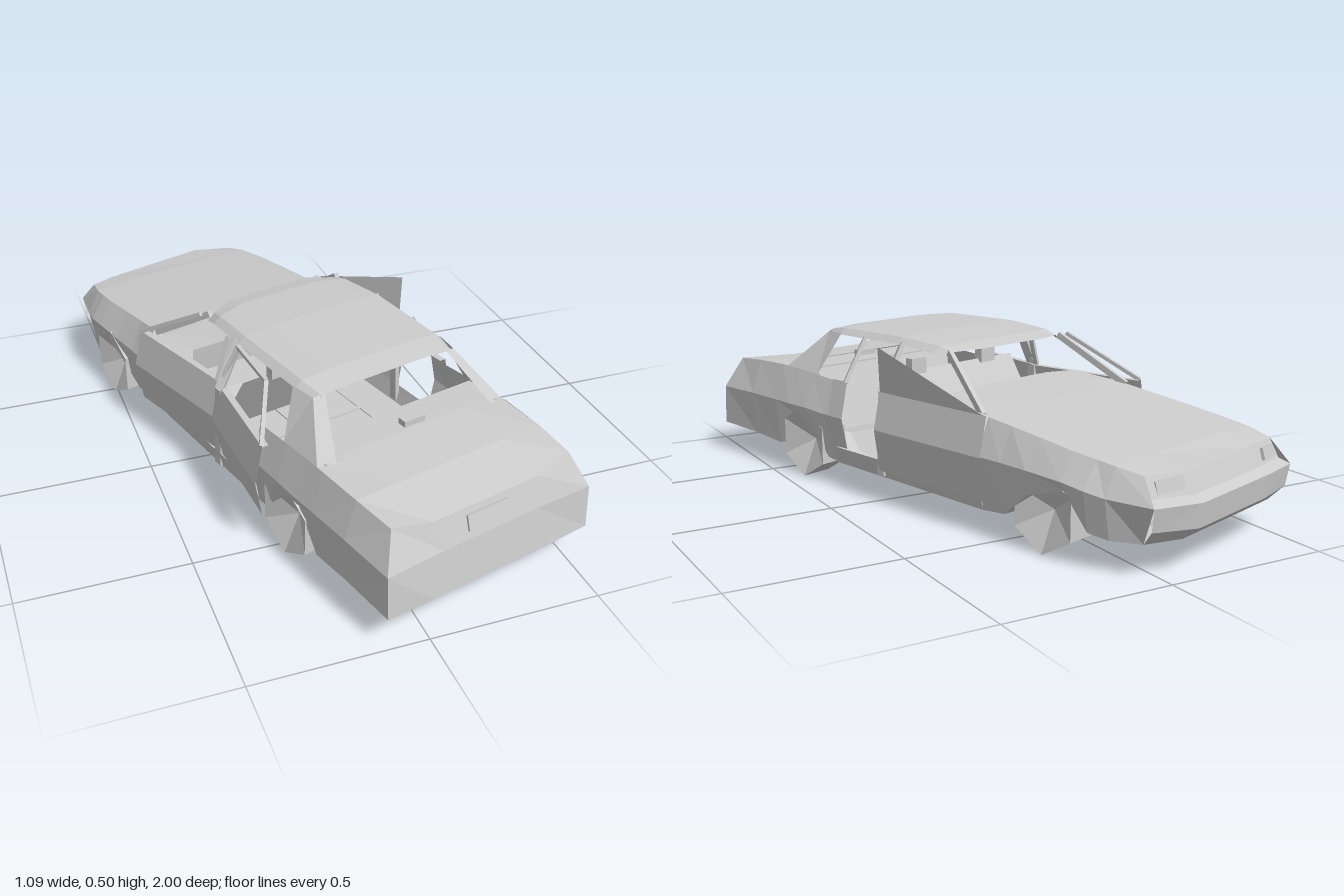
import * as THREE from 'three';

const paint = new THREE.MeshStandardMaterial({ color: 0xcccccc, side: THREE.DoubleSide });
paint.name = 'plain grey';

export function createModel() {
  const model = new THREE.Group();
  model.name = 'sedan';
  // the car stands at a slight yaw, boot towards +z
  const car = new THREE.Group();
  car.name = 'car';
  car.rotation.y = 0.247;
  car.position.set(-0.015, 0, 0.004);
  model.add(car);

  const add = (name, geo) => {
    const mesh = new THREE.Mesh(geo, paint);
    mesh.name = name;
    car.add(mesh);
    return mesh;
  };
  // faceted surface through rows of points
  const grid = (name, rows) => {
    const p = [];
    for (let i = 0; i < rows.length - 1; i++) {
      for (let j = 0; j < rows[i].length - 1; j++) {
        const a = rows[i][j], b = rows[i + 1][j], c = rows[i + 1][j + 1], d = rows[i][j + 1];
        p.push(...a, ...b, ...c, ...a, ...c, ...d);
      }
    }
    const g = new THREE.BufferGeometry();
    g.setAttribute('position', new THREE.Float32BufferAttribute(p, 3));
    g.computeVertexNormals();
    return add(name, g);
  };
  const box = (name, w, h, d, x, y, z) => {
    const m = add(name, new THREE.BoxGeometry(w, h, d));
    m.position.set(x, y, z);
    return m;
  };
  // straight beam between two points
  const beam = (name, p, q, w, t = w) => {
    const a = new THREE.Vector3(...p), b = new THREE.Vector3(...q);
    const m = add(name, new THREE.BoxGeometry(t, w, a.distanceTo(b)));
    m.position.copy(a).lerp(b, 0.5);
    m.quaternion.setFromUnitVectors(new THREE.Vector3(0, 0, 1), b.sub(a).normalize());
    return m;
  };
  const flip = (s, rows) => rows.map(r => r.map(([x, y, z]) => [s * x, y, z]));
  const across = half => [...half.map(([x, y, z]) => [-x, y, z]), ...half.slice().reverse()];
  // the nose is pushed in a little on the -x side
  const dented = rows => rows.map(r => r.map(([x, y, z]) => [x, y, x < 0 && x > -0.2 && z < -0.9 ? z + 0.03 : z]));

  // side stations: z, sill x, sill y, waist x, waist y, shoulder x, shoulder y
  const frontStations = [
    [-0.81, 0.32, 0.09, 0.34, 0.205, 0.3, 0.283],
    [-0.75, 0.335, 0.1, 0.355, 0.215, 0.305, 0.29],
    [-0.68, 0.35, 0.2, 0.36, 0.225, 0.31, 0.298],
    [-0.55, 0.35, 0.16, 0.36, 0.23, 0.31, 0.314],
    [-0.45, 0.335, 0.08, 0.355, 0.23, 0.31, 0.325],
    [-0.36, 0.33, 0.07, 0.355, 0.23, 0.31, 0.335]];
  const rearStations = [
    [0.3, 0.33, 0.075, 0.355, 0.23, 0.32, 0.335],
    [0.35, 0.335, 0.085, 0.355, 0.23, 0.32, 0.338],
    [0.44, 0.345, 0.18, 0.358, 0.235, 0.32, 0.344],
    [0.53, 0.345, 0.205, 0.358, 0.235, 0.32, 0.348],
    [0.61, 0.34, 0.085, 0.355, 0.235, 0.32, 0.35],
    [0.75, 0.342, 0.095, 0.352, 0.235, 0.315, 0.345]];
  const sidePoints = ([z, a, b, c, d, e, f]) => [[a, b, z], [c, d, z], [e, f, z]];
  const noseCorner = [[0.28, 0.09, -0.89], [0.305, 0.2, -0.94], [0.28, 0.27, -0.885]];
  const tailCorner = [[0.346, 0.1, 0.938], [0.347, 0.23, 0.93], [0.303, 0.333, 0.88]];
  const sideRowsFront = [noseCorner, ...frontStations.map(sidePoints)];
  const sideRowsRear = [...rearStations.map(sidePoints), tailCorner];

  for (const s of [-1, 1]) {
    grid('frontFender', flip(s, sideRowsFront));
    grid('rearQuarter', flip(s, sideRowsRear));
    grid('sill', flip(s, [[[0.33, 0.07, -0.36], [0.345, 0.13, -0.36]],
      [[0.33, 0.075, 0.3], [0.345, 0.13, 0.3]]]));
  }

  // floor with wheel wells
  const floorRows = [[0.28, 0.09, -0.89], ...[...frontStations, ...rearStations].map(([z, x, y]) => [x, y, z]), [0.346, 0.1, 0.938]];
  grid('floor', floorRows.map(([x, y, z]) => {
    const low = z > 0.7 || z < -0.8 ? y : 0.07;
    return across([[x, y, z], [0.21, y, z], [0.21, low, z]]);
  }));
  box('driveTunnel', 0.05, 0.012, 0.6, 0, 0.068, 0);
  box('crossMember', 0.6, 0.012, 0.015, 0, 0.068, 0.05);

  // bonnet and cowl
  const bonnetLip = across([[0.28, 0.27, -0.885], [0.16, 0.272, -0.935]]);
  grid('bonnet', dented([
    bonnetLip,
    ...frontStations.map(([z, , , , , x, y]) => across([[x, y, z], [0.17, y + 0.008, z]]))]));
  grid('cowl', [across([[0.31, 0.335, -0.36], [0.17, 0.343, -0.36]]),
    across([[0.31, 0.345, -0.285], [0.17, 0.35, -0.285]])]);
  // nose with bumper step
  grid('nose', dented([
    bonnetLip,
    across([[0.29, 0.215, -0.91], [0.165, 0.215, -0.96]]),
    across([[0.305, 0.2, -0.94], [0.17, 0.2, -0.99]]),
    across([[0.3, 0.135, -0.93], [0.17, 0.13, -0.98]]),
    across([[0.28, 0.09, -0.89], [0.17, 0.09, -0.93]])]));
  for (const s of [-1, 1]) {
    const lamp = box('headlamp', 0.08, 0.034, 0.009, s * 0.225, 0.243, s < 0 ? -0.915 : -0.923);
    lamp.rotation.y = s < 0 ? 0.24 : -0.4;
    lamp.rotation.x = 0.3;
  }

  // boot lid dipping to a lower lip, tail and plate
  grid('bootLid', [
    across([[0.32, 0.35, 0.58], [0.18, 0.36, 0.58]]),
    across([[0.315, 0.345, 0.75], [0.18, 0.348, 0.75]]),
    across([[0.303, 0.333, 0.88], [0.18, 0.312, 0.895]])]);
  grid('tail', [
    across([[0.303, 0.333, 0.88], [0.18, 0.312, 0.895]]),
    across([[0.347, 0.23, 0.93], [0.16, 0.228, 0.922]]),
    across([[0.346, 0.1, 0.938], [0.2, 0.1, 0.942]])]);
  box('plate', 0.14, 0.045, 0.009, -0.005, 0.272, 0.91).rotation.x = -0.3;

  // roof with drip edges, bowed along its front edge
  grid('roof', [[-0.12, 0.222, 0.48, 0.04], [-0.07, 0.23, 0.493, 0.025], [0.09, 0.24, 0.502, 0], [0.38, 0.235, 0.496, 0], [0.46, 0.222, 0.482, 0]]
    .map(([z, x, y, bow]) => across([[x + 0.022, y - 0.025, z], [x, y - 0.006, z], [x * 0.6, y, z - bow]])));

  // pillars on both sides
  for (const s of [-1, 1]) {
    beam('frontPillar', [s * 0.31, 0.335, -0.34], [s * 0.235, 0.475, -0.12], 0.02, 0.014);
    beam('middlePillar', [s * 0.335, 0.08, 0.08], [s * 0.325, 0.34, 0.08], 0.03, 0.014);
    beam('middlePillar', [s * 0.325, 0.34, 0.08], [s * 0.25, 0.48, 0.075], 0.026, 0.014);
    grid('rearPillar', flip(s, [
      [[0.32, 0.342, 0.42], [0.257, 0.475, 0.37]],
      [[0.32, 0.35, 0.58], [0.245, 0.472, 0.45]],
      [[0.27, 0.352, 0.6], [0.21, 0.48, 0.455]]]));
  }

  // doors: lower skin from hinge edge to free edge, with belt line
  const door = (name, x0, z0, x1, z1, y0 = 0.1) => grid(name, [[x0, z0], [x1, z1]].map(([x, z]) => {
    const s = Math.sign(x);
    return [[x - s * 0.02, y0, z], [x, 0.23, z], [x - s * 0.025, 0.345, z], [x - s * 0.045, 0.345, z]];
  }));
  door('frontDoor', 0.363, -0.38, 0.372, 0.07);
  grid('frontDoorWindow', [[[0.34, 0.345, -0.37], [0.34, 0.345, -0.37]],
    [[0.35, 0.345, 0.065], [0.385, 0.49, 0.03]]]);
  door('rearDoor', 0.356, 0.25, 0.358, 0.32, 0.13);
  beam('rearDoorFrame', [0.33, 0.34, 0.26], [0.255, 0.475, 0.25], 0.02, 0.012);

  door('frontDoor', -0.384, -0.36, -0.335, 0.05);
  beam('frontDoorFrame', [-0.36, 0.345, -0.355], [-0.262, 0.478, -0.13], 0.012);
  beam('frontDoorFrame', [-0.31, 0.345, 0.045], [-0.262, 0.478, 0.035], 0.014);
  door('rearDoor', -0.345, 0.06, -0.412, 0.415, 0.12);
  beam('rearDoorFrame', [-0.32, 0.345, 0.07], [-0.27, 0.475, 0.1], 0.012);
  beam('rearDoorFrame', [-0.27, 0.475, 0.1], [-0.3, 0.47, 0.3], 0.012);
  beam('rearDoorFrame', [-0.3, 0.47, 0.3], [-0.387, 0.345, 0.41], 0.012);

  // cabin, with a deep dashboard under the windscreen opening
  grid('dashboard', [
    across([[0.3, 0.345, -0.285], [0.17, 0.35, -0.285]]),
    across([[0.29, 0.355, -0.14], [0.17, 0.362, -0.13]]),
    across([[0.29, 0.27, -0.15], [0.17, 0.27, -0.14]])]);
  box('parcelShelf', 0.6, 0.01, 0.12, 0, 0.35, 0.53);
  box('shelfLamp', 0.07, 0.02, 0.03, 0.02, 0.363, 0.55);
  // reclined front bench back with headrests, rear bench
  grid('frontSeatBack', [[[-0.29, 0.14, 0], [0.29, 0.14, 0]], [[-0.28, 0.375, 0.14], [0.28, 0.375, 0.14]]]);
  grid('frontSeatBase', [[[-0.29, 0.14, 0], [0.29, 0.14, 0]], [[-0.29, 0.17, -0.16], [0.29, 0.17, -0.16]]]);
  grid('rearSeat', [[[-0.28, 0.17, 0.28], [0.28, 0.17, 0.28]], [[-0.28, 0.15, 0.4], [0.28, 0.15, 0.4]],
    [[-0.28, 0.35, 0.47], [0.28, 0.35, 0.47]]]);
  for (const s of [-1, 1]) box('headrest', 0.06, 0.05, 0.03, s * 0.15 - 0.01, 0.388, 0.14);

  // six-sided wheels: hollow outer face, pointed inner face
  const profile = [[0.001, -0.085], [0.114, -0.05], [0.118, 0.045], [0.001, -0.005]].map(p => new THREE.Vector2(...p));
  for (const s of [-1, 1]) {
    for (const z of [-0.595, 0.465]) {
      const g = new THREE.LatheGeometry(profile, 6, Math.PI / 6).toNonIndexed();
      g.computeVertexNormals();
      const wheel = add('wheel', g);
      wheel.rotation.z = -s * Math.PI / 2;
      wheel.position.set(s * 0.305 - (z < 0 ? 0.01 : 0), 0.118, z);
    }
  }
  return model;
}
